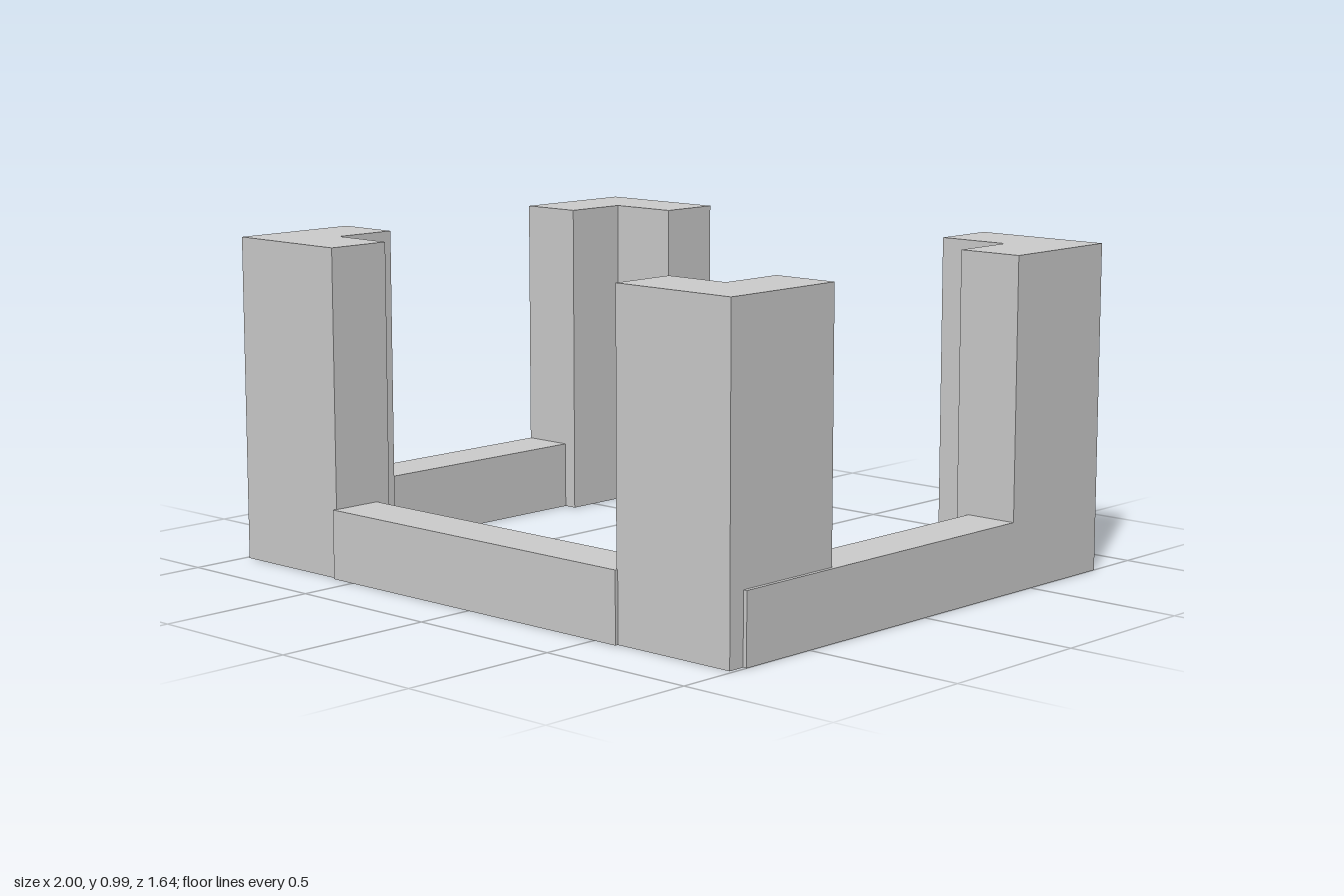
import * as THREE from 'three';

const material = new THREE.MeshStandardMaterial({ color: 0xcccccc, flatShading: true });
const POST_HEIGHT = 0.99;
const WALL_HEIGHT = 0.21;

// Upright L-shaped post: outer corner, inner corner and arm ends given as [x, z]
function cornerPost(name, side, outer, inner, end) {
  const outline = [
    [outer[0], outer[1]], [end[0], outer[1]], [end[0], inner[1]],
    [inner[0], inner[1]], [inner[0], end[1]], [outer[0], end[1]],
  ];
  const shape = new THREE.Shape(outline.map(([x, z]) => new THREE.Vector2(side * x, -z)));
  const geometry = new THREE.ExtrudeGeometry(shape, { depth: POST_HEIGHT, bevelEnabled: false });
  geometry.rotateX(-Math.PI / 2);
  const mesh = new THREE.Mesh(geometry, material);
  mesh.name = name;
  return mesh;
}

// Low wall spanning x0..x1 and z0..z1, standing on the floor
function lowWall(name, x0, x1, z0, z1) {
  const mesh = new THREE.Mesh(new THREE.BoxGeometry(x1 - x0, WALL_HEIGHT, z1 - z0), material);
  mesh.position.set((x0 + x1) / 2, WALL_HEIGHT / 2, (z0 + z1) / 2);
  mesh.name = name;
  return mesh;
}

export function createModel() {
  const model = new THREE.Group();
  model.name = 'cornerPostFrame';

  // Four corner posts, mirrored left and right
  for (const [label, side] of [['left', 1], ['right', -1]]) {
    model.add(cornerPost(`${label}BackPost`, side, [1, -0.822], [0.794, -0.62], [0.564, -0.41]));
    model.add(cornerPost(`${label}FrontPost`, side, [0.988, 0.81], [0.783, 0.602], [0.576, 0.396]));
  }

  // Low walls joining the posts; the back stays open
  model.add(lowWall('leftWall', 0.836, 1, -0.41, 0.757));
  model.add(lowWall('rightWall', -1, -0.836, -0.41, 0.757));
  model.add(lowWall('frontWall', -0.581, 0.581, 0.652, 0.82));

  return model;
}
